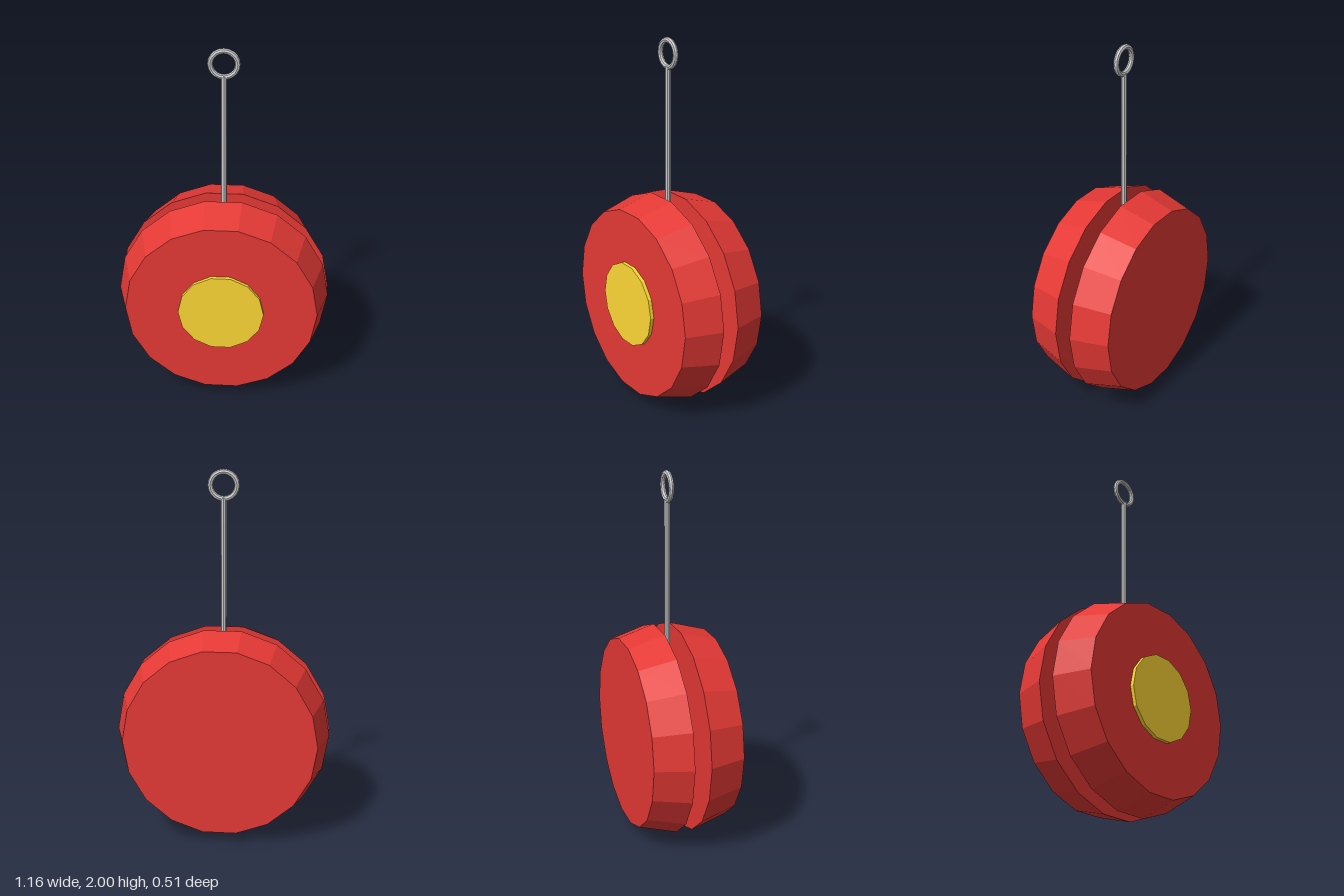
import * as THREE from 'three';

const CENTER_Y = 0.573; // height of the spin axis
const MID_Z = -0.01; // middle of the gap between the discs

const material = (color) => new THREE.MeshStandardMaterial({ color, flatShading: true });
const red = material(0xe53935);
const yellow = material(0xfdd835);
const grey = material(0xcccccc);

// Faceted drum lying along z, with a corner pointing to +x
function drum(name, frontRadius, backRadius, zBack, zFront, sides, mat) {
  const geometry = new THREE.CylinderGeometry(
    frontRadius, backRadius, zFront - zBack, sides, 1, false, Math.PI / 2);
  geometry.rotateX(Math.PI / 2);
  const mesh = new THREE.Mesh(geometry, mat);
  mesh.name = name;
  mesh.position.set(0, CENTER_Y, (zBack + zFront) / 2);
  return mesh;
}

export function createModel() {
  const model = new THREE.Group();
  model.name = 'yoyo';

  // Two tapered halves, wide sides facing each other
  model.add(drum('frontDisc', 0.523, 0.581, 0.035, 0.237, 18, red));
  model.add(drum('backDisc', 0.581, 0.523, -0.257, -0.055, 18, red));

  // Badge on the front and axle in the gap
  model.add(drum('frontCap', 0.233, 0.233, 0.217, 0.257, 14, yellow));
  model.add(drum('axle', 0.087, 0.087, -0.075, 0.055, 10, grey));

  // Straight string rising from the axle
  const bottom = CENTER_Y + 0.07;
  const top = 1.85;
  const string = new THREE.Mesh(
    new THREE.CylinderGeometry(0.016, 0.016, top - bottom, 8), grey);
  string.name = 'string';
  string.position.set(0, (top + bottom) / 2, MID_Z);
  model.add(string);

  // Finger ring
  const ring = new THREE.Mesh(new THREE.TorusGeometry(0.07, 0.0145, 8, 20), grey);
  ring.name = 'fingerRing';
  ring.position.set(0, 1.9155, MID_Z);
  model.add(ring);

  return model;
}
